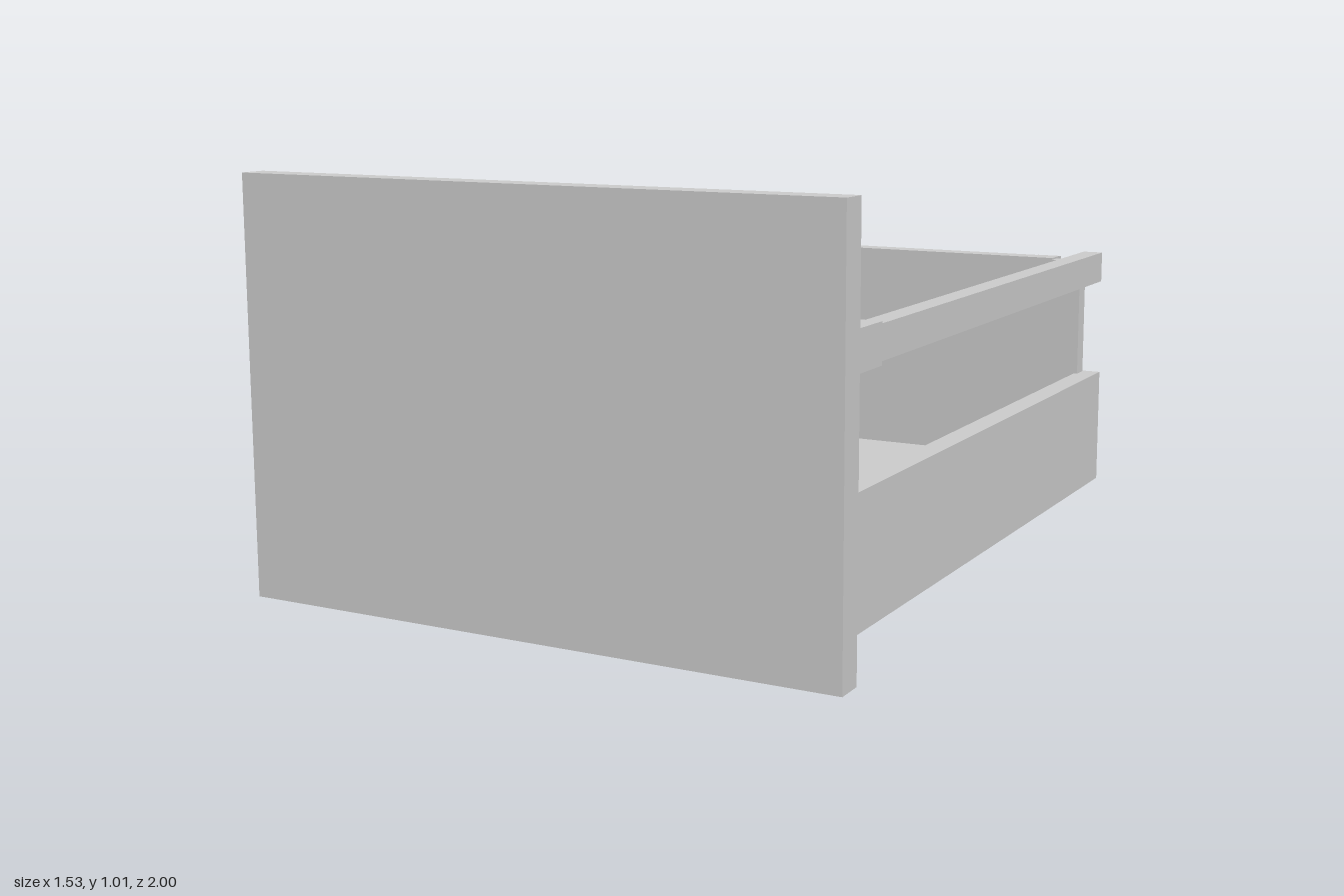
import * as THREE from 'three';

export function createModel() {
  const model = new THREE.Group();
  const mat = new THREE.MeshStandardMaterial({ color: 0xcccccc, flatShading: true });

  // Box given by its minimum and maximum on each axis
  function box(parent, name, x0, x1, y0, y1, z0, z1) {
    const mesh = new THREE.Mesh(new THREE.BoxGeometry(Math.abs(x1 - x0), y1 - y0, z1 - z0), mat);
    mesh.position.set((x0 + x1) / 2, (y0 + y1) / 2, (z0 + z1) / 2);
    mesh.name = name;
    parent.add(mesh);
  }

  // Front panel, floor and back panel
  box(model, 'frontPanel', -0.765, 0.765, 0, 1.01, 0.93, 1);
  box(model, 'floor', -0.55, 0.55, 0.055, 0.1, -0.95, 0.93);
  box(model, 'backPanel', -0.545, 0.545, 0.075, 0.69, -0.97, -0.91);

  // Both sides share their parts, mirrored across x
  for (const s of [1, -1]) {
    const side = new THREE.Group();
    side.name = s > 0 ? 'leftSide' : 'rightSide';
    model.add(side);
    const sideBox = (name, x0, x1, ...rest) => box(side, name, s * x0, s * x1, ...rest);

    // Side wall: slanted inner face, open channel below for the runner
    const profile = [
      [0.68, 0.045], [0.68, 0.36], [0.622, 0.36], [0.587, 0.12], [0.545, 0.1],
      [0.545, 0.055], [0.58, 0.055], [0.58, 0.1], [0.67, 0.1], [0.67, 0.045],
    ];
    const shape = new THREE.Shape(profile.map(([x, y]) => new THREE.Vector2(s * x, y)));
    const wall = new THREE.Mesh(
      new THREE.ExtrudeGeometry(shape, { depth: 1.89, bevelEnabled: false }), mat);
    wall.position.z = -0.96;
    wall.name = 'sideWall';
    side.add(wall);

    // Runner under the wall
    sideBox('runner', 0.59, 0.653, 0.03, 0.09, -1, 0.78);
    sideBox('runnerFront', 0.595, 0.648, 0.036, 0.085, 0.78, 0.93);

    // Upper rail and its front sleeve
    sideBox('rail', 0.623, 0.677, 0.625, 0.708, -0.96, 0.64);
    sideBox('railSleeve', 0.62, 0.683, 0.618, 0.715, 0.63, 0.93);

    // Rear post, panel holder and rail connector
    sideBox('rearPost', 0.595, 0.632, 0.3, 0.64, -0.95, -0.9);
    sideBox('panelHolder', 0.545, 0.56, 0.09, 0.685, -0.955, -0.905);
    sideBox('holderWeb', 0.56, 0.6, 0.09, 0.685, -0.92, -0.905);
    sideBox('railConnector', 0.555, 0.63, 0.655, 0.685, -0.95, -0.905);
    sideBox('backClip', 0.48, 0.55, 0.12, 0.69, -0.975, -0.965);

    // Screw head on the inside of the front panel
    const screw = new THREE.Mesh(new THREE.CylinderGeometry(0.01, 0.01, 0.012, 12), mat);
    screw.rotation.x = Math.PI / 2;
    screw.position.set(s * 0.3, 0.838, 0.926);
    screw.name = 'screwHead';
    side.add(screw);
  }
  return model;
}
